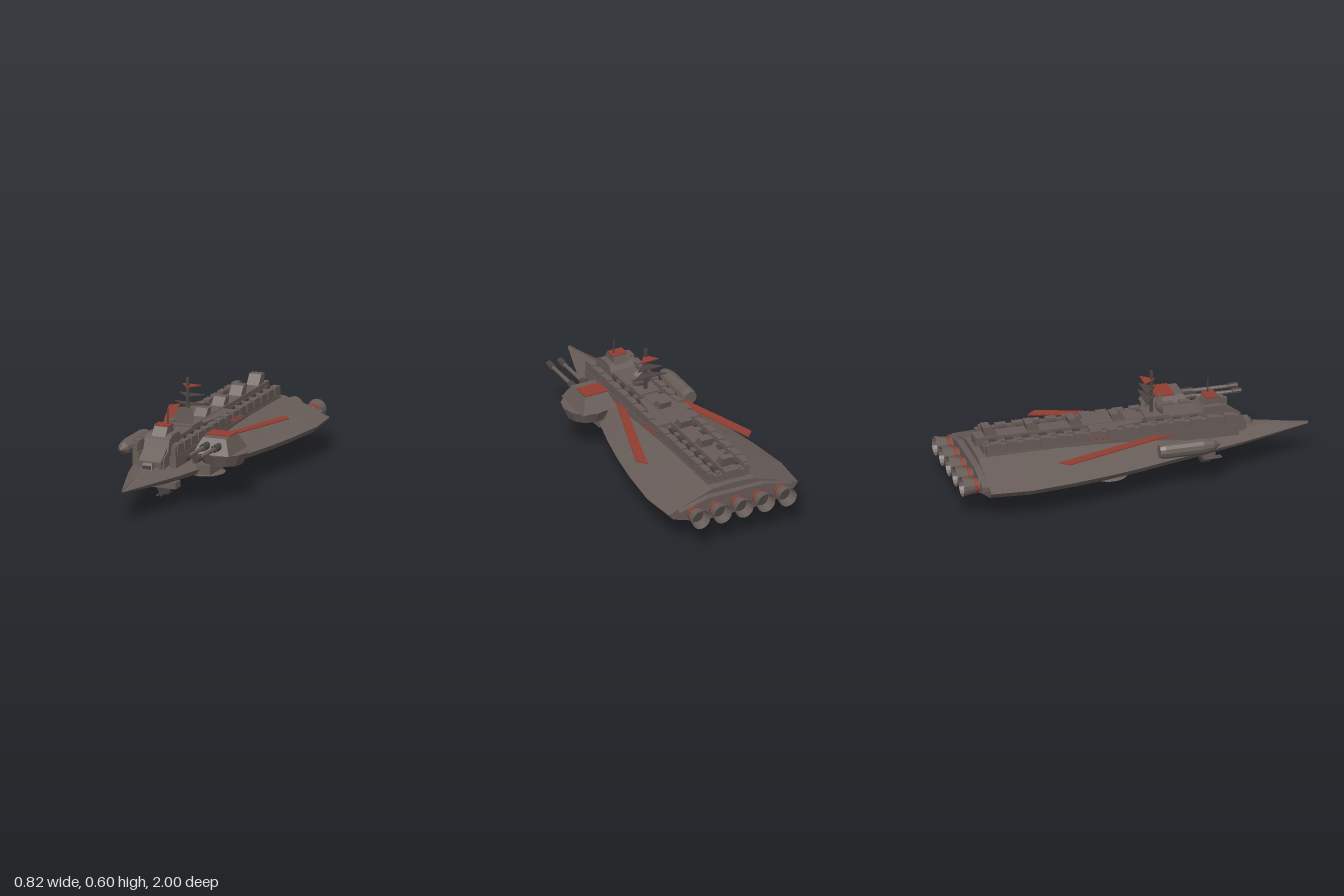
import * as THREE from 'three';

const mat = (name, hex, side = THREE.FrontSide) => {
  const m = new THREE.MeshStandardMaterial({ color: hex, flatShading: true, side });
  m.name = name;
  return m;
};

export function createModel() {
  const root = new THREE.Group();
  root.name = 'warship';
  const grey = mat('hullGrey', 0x665b57);
  const greyOpen = mat('nozzleGrey', 0x665b57, THREE.DoubleSide);
  const red = mat('rustRed', 0x913d30);
  const dark = mat('darkGrey', 0x4a4240);
  const purple = mat('sensorPurple', 0x40335c);

  const add = (name, geo, m, x = 0, y = 0, z = 0) => {
    const mesh = new THREE.Mesh(geo, m);
    mesh.name = name;
    mesh.position.set(x, y, z);
    root.add(mesh);
    return mesh;
  };
  // Box from min/max limits
  const box = (name, m, x0, x1, y0, y1, z0, z1) =>
    add(name, new THREE.BoxGeometry(x1 - x0, y1 - y0, z1 - z0), m, (x0 + x1) / 2, (y0 + y1) / 2, (z0 + z1) / 2);
  const cyl = (name, m, rTop, rBot, h, n, x, y, z, open = false) =>
    add(name, new THREE.CylinderGeometry(rTop, rBot, h, n, 1, open), m, x, y, z);
  // Cylinder along z, rFront at the +z end
  const cylZ = (name, m, rFront, rBack, z0, z1, n, x, y, open = false) => {
    const c = cyl(name, m, rFront, rBack, z1 - z0, n, x, y, (z0 + z1) / 2, open);
    c.rotation.x = Math.PI / 2;
    return c;
  };
  const shapeOf = pts => new THREE.Shape(pts.map(p => new THREE.Vector2(p[0], p[1])));
  // Side profile (z, y) extruded across x
  const profile = (name, m, pts, width, x = 0) => {
    const g = new THREE.ExtrudeGeometry(shapeOf(pts), { depth: width, bevelEnabled: false });
    g.translate(0, 0, -width / 2).rotateY(-Math.PI / 2);
    return add(name, g, m, x);
  };
  // Four-sided frustum: half sizes at bottom and top
  const frustum = (name, m, bx, bz, tx, tz, y0, y1, x, z) => {
    const g = new THREE.BoxGeometry(2, y1 - y0, 2);
    const p = g.attributes.position;
    for (let i = 0; i < p.count; i++) {
      const top = p.getY(i) > 0;
      p.setX(i, p.getX(i) * (top ? tx : bx));
      p.setZ(i, p.getZ(i) * (top ? tz : bz));
    }
    return add(name, g, m, x, (y0 + y1) / 2, z);
  };

  // Hull lofted through stations: z, half width, deck height, keel height
  const stations = [
    [1, 0.008, 0.19, 0.175], [0.8, 0.075, 0.217, 0.152], [0.6, 0.14, 0.24, 0.133], [0.4, 0.192, 0.256, 0.118],
    [0.2, 0.245, 0.268, 0.107], [0, 0.30, 0.277, 0.099], [-0.2, 0.345, 0.281, 0.093], [-0.4, 0.38, 0.283, 0.09],
    [-0.65, 0.409, 0.283, 0.088], [-0.87, 0.392, 0.28, 0.095],
  ];
  const pos = [], idx = [];
  stations.forEach(([z, w, t, b]) => {
    const half = [[0.33 * w, t - 0.008], [w, 0.18], [0.93 * w, 0.18 - (0.18 - b) * 0.38], [0.5 * w, b]];
    const ring = [[0, t], ...half, [0, b], ...half.slice().reverse().map(([x, y]) => [-x, y])];
    ring.forEach(([x, y]) => pos.push(x, y, z));
  });
  const n = 10, last = stations.length - 1;
  for (let i = 0; i < last; i++) for (let j = 0; j < n; j++) {
    const a = i * n + j, b = i * n + (j + 1) % n;
    idx.push(a, b, a + n, b, b + n, a + n);
  }
  for (let j = 1; j < n - 1; j++) {
    idx.push(0, j + 1, j);
    idx.push(last * n, last * n + j, last * n + j + 1);
  }
  const hull = new THREE.BufferGeometry();
  hull.setAttribute('position', new THREE.Float32BufferAttribute(pos, 3));
  hull.setIndex(idx);
  const hullGeo = hull.toNonIndexed();
  hullGeo.computeVertexNormals();
  add('hull', hullGeo, grey);

  // Stern plate and engine nozzles
  const stern = shapeOf([[-0.34, 0.17], [-0.25, 0.13], [0.25, 0.13], [0.34, 0.17], [0.34, 0.2], [0.17, 0.245], [-0.17, 0.245], [-0.34, 0.2]]);
  add('sternPlate', new THREE.ExtrudeGeometry(stern, { depth: 0.05, bevelEnabled: false }), grey, 0, 0, -0.905);
  for (let i = -2; i <= 2; i++) {
    const x = i * 0.131;
    cylZ('engineNozzle', greyOpen, 0.036, 0.054, -1, -0.9, 16, x, 0.182, true);
    cylZ('engineRing', red, 0.042, 0.045, -0.935, -0.915, 16, x, 0.182);
    cylZ('engineCore', dark, 0.036, 0.04, -0.945, -0.9, 16, x, 0.182);
  }

  // Spine: deck, ridge, side rails and rail blocks
  box('spineDeck', grey, -0.09, 0.09, 0.25, 0.318, -0.83, 0.45);
  box('spineRidge', grey, -0.042, 0.042, 0.3, 0.348, -0.86, 0.42);
  for (const s of [-1, 1]) {
    const side = (name, m, x0, x1, ...r) => box(name, m, Math.min(s * x0, s * x1), Math.max(s * x0, s * x1), ...r);
    side('railLower', grey, 0.09, 0.128, 0.22, 0.285, -0.82, 0.58);
    side('railUpper', grey, 0.098, 0.125, 0.285, 0.335, -0.82, 0.58);
    side('innerRail', grey, 0.055, 0.072, 0.3, 0.332, -0.82, 0.4);
    for (let i = 0; i < 15; i++) {
      const z = -0.77 + i * 0.093;
      side('railBlock', grey, 0.095, 0.13, 0.3, 0.345, z - 0.03, z + 0.03);
      if (i < 13) side('innerBlock', dark, 0.05, 0.077, 0.3, 0.34, z - 0.02, z + 0.02);
    }
    // Cooling rods amidships
    for (let i = 0; i < 4; i++) side('coolingRod', red, 0.09, 0.16, 0.308, 0.314, -0.254 + i * 0.036, -0.246 + i * 0.036);
    // Long swept deck stripes
    const stripe = shapeOf([[0.145, -0.22], [0.16, -0.15], [0.35, 0.42], [0.305, 0.47], [0.285, 0.40], [0.13, -0.1]]
      .map(([x, z]) => [s * x, z]));
    const g = new THREE.ExtrudeGeometry(stripe, { depth: 0.006, bevelEnabled: false });
    g.rotateX(-Math.PI / 2);
    add('deckStripe', g, red, 0, 0.273, 0);
  }
  // Wedge housings along the ridge
  for (let i = 0; i < 4; i++) {
    const z = -0.015 - i * 0.237, h = 0.386 + i * 0.005;
    profile('ridgeWedge', grey, [[z, 0.34], [z - 0.045, h], [z - 0.09, h], [z - 0.075, 0.34]], 0.07);
  }
  // Midship housing, tapering forward, with a forward deckhouse
  const mid = shapeOf([[-0.1, 0.24], [0.1, 0.24], [0.1, 0.13], [0.075, -0.06], [-0.075, -0.06], [-0.1, 0.13]]);
  const midGeo = new THREE.ExtrudeGeometry(mid, { depth: 0.06, bevelEnabled: false });
  add('midshipHousing', midGeo.rotateX(-Math.PI / 2), grey, 0, 0.285, 0);
  box('mastHouse', grey, -0.06, 0.06, 0.3, 0.358, 0.08, 0.22);
  box('forwardHouse', grey, -0.065, 0.065, 0.25, 0.35, 0.2, 0.42);

  // Command tower
  profile('towerBase', grey, [[0.62, 0.21], [0.61, 0.275], [0.56, 0.3], [0.54, 0.36], [0.5, 0.38], [0.41, 0.38], [0.38, 0.34], [0.38, 0.21]], 0.145);
  profile('towerFront', grey, [[0.64, 0.22], [0.64, 0.26], [0.56, 0.32], [0.55, 0.22]], 0.13);
  profile('towerBridge', grey, [[0.53, 0.36], [0.49, 0.416], [0.42, 0.416], [0.4, 0.36]], 0.08);
  box('bridgeRoof', red, -0.043, 0.043, 0.415, 0.422, 0.42, 0.485);
  box('bridgeAntenna', dark, 0.02, 0.025, 0.41, 0.505, 0.448, 0.453);
  frustum('bowHatch', grey, 0.036, 0.05, 0.026, 0.03, 0.215, 0.258, 0, 0.64);
  box('bowHatchWindow', dark, -0.025, 0.025, 0.222, 0.245, 0.678, 0.686);

  // Mast with three swept crossarms and a dish
  box('mast', dark, -0.007, 0.007, 0.34, 0.6, 0.123, 0.137);
  [[0.45, 0.1, dark], [0.5, 0.075, dark], [0.55, 0.053, red]].forEach(([y, w, m]) => {
    const g = new THREE.ExtrudeGeometry(shapeOf([[-w, -0.08], [0, -0.15], [w, -0.08]]), { depth: 0.006, bevelEnabled: false });
    add('mastCrossarm', g.rotateX(-Math.PI / 2), m, 0, y - 0.003, 0);
  });
  cylZ('dish', grey, 0.058, 0.02, 0.155, 0.18, 20, 0, 0.395);

  // Side gun turret on its sponson
  box('turretBracket', grey, 0.165, 0.25, 0.152, 0.205, 0.19, 0.41);
  cyl('turretSponson', grey, 0.138, 0.11, 0.065, 12, 0.275, 0.2325, 0.287);
  frustum('turretHouse', grey, 0.105, 0.125, 0.068, 0.075, 0.265, 0.347, 0.255, 0.285);
  box('turretRoof', red, 0.183, 0.323, 0.346, 0.354, 0.21, 0.31);
  for (const x of [0.22, 0.288]) {
    cylZ('gunSocket', dark, 0.02, 0.02, 0.33, 0.44, 12, x, 0.308);
    cylZ('gunBarrel', grey, 0.01, 0.012, 0.43, 0.66, 10, x, 0.308);
    cylZ('gunMuzzle', dark, 0.018, 0.018, 0.64, 0.69, 10, x, 0.308);
  }

  // Opposite side pod
  const podProfile = [[0, 0.1], [0.036, 0.1], [0.043, 0.13], [0.043, 0.34], [0.032, 0.4], [0, 0.445]];
  const pod = new THREE.LatheGeometry(podProfile.map(p => new THREE.Vector2(p[0], p[1])), 12);
  add('sidePod', pod.rotateX(Math.PI / 2), grey, -0.258, 0.245, 0);

  // Bow gun beneath the hull
  box('bowGunMount', grey, -0.075, 0.075, 0.07, 0.107, 0.4, 0.465);
  box('bowGunStem', grey, -0.02, 0.02, 0.1, 0.13, 0.42, 0.45);
  frustum('bowGunBody', dark, 0.025, 0.025, 0.042, 0.03, 0.032, 0.07, 0, 0.425);
  for (const x of [-0.01, 0.01]) cylZ('bowGunBarrel', dark, 0.006, 0.006, 0.43, 0.52, 8, x, 0.042);

  // Belly sensor disc and red plate
  box('bellyPlate', red, -0.122, 0.122, 0.066, 0.084, -0.29, -0.09);
  cyl('sensorStem', grey, 0.028, 0.028, 0.08, 12, 0, 0.068, -0.11);
  cyl('sensorDiscTop', grey, 0.08, 0.107, 0.012, 24, 0, 0.03, -0.11);
  cyl('sensorDiscBottom', grey, 0.107, 0.08, 0.012, 24, 0, 0.018, -0.11);
  cyl('sensorLens', purple, 0.072, 0.072, 0.004, 24, 0, 0.011, -0.11);

  // Ventral keel with side windows and slim vanes
  profile('keel', grey, [[-0.505, 0.1], [-0.55, 0], [-0.755, 0], [-0.785, 0.1]], 0.084);
  for (let i = 0; i < 3; i++) {
    const z = -0.57 - i * 0.07;
    box('keelWindow', red, -0.045, 0.045, 0.05, 0.08, z - 0.023, z + 0.023);
    box('keelVane', red, -0.128, 0.128, 0.052, 0.06, z - 0.023, z + 0.023);
  }
  return root;
}
